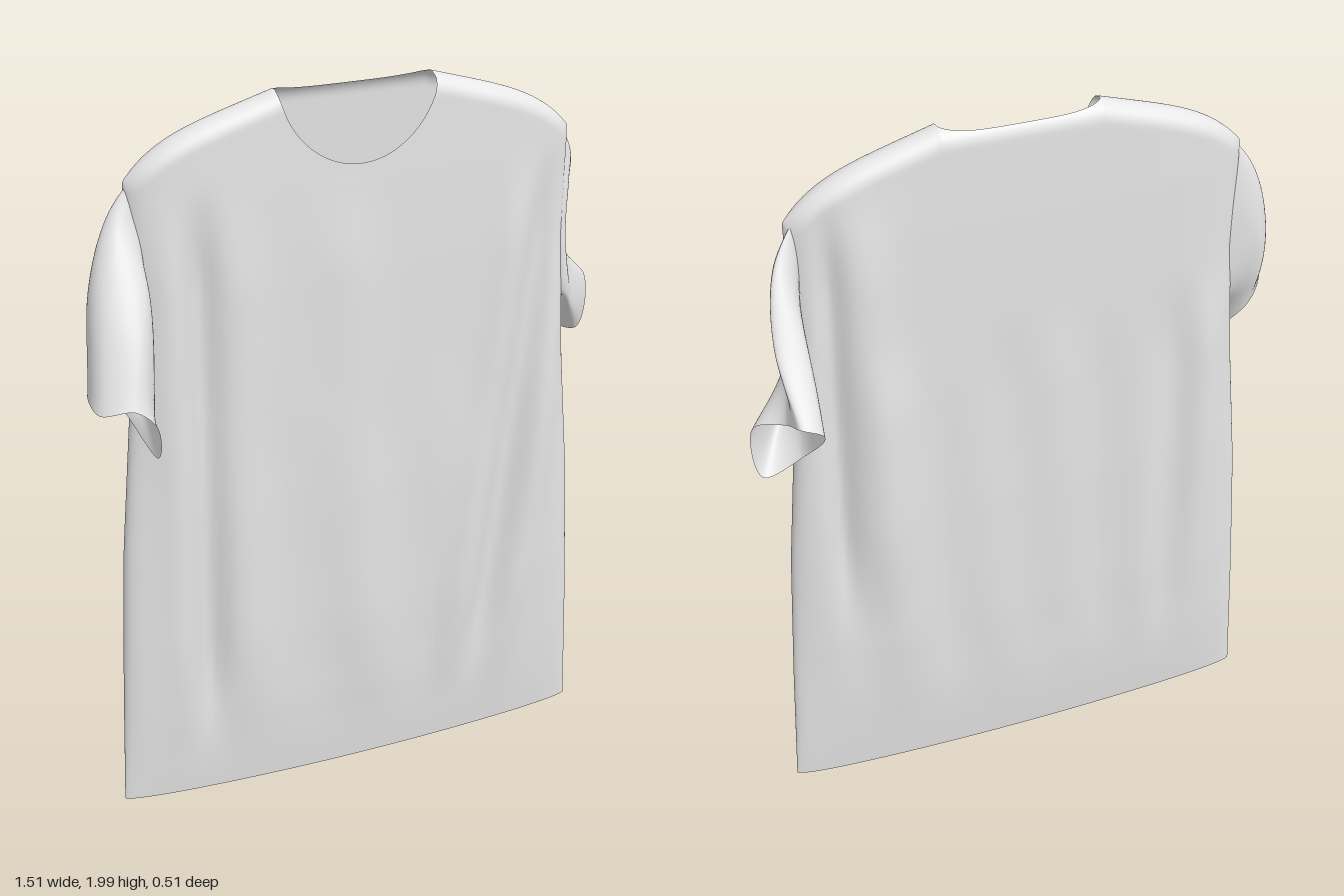
import * as THREE from 'three';

const fabric = new THREE.MeshStandardMaterial({ color: 0xe6e6e6, side: THREE.DoubleSide });
fabric.name = 'light grey fabric';

// Straight-line lookup in a list of [position, value] pairs
function lookup(table, p) {
  for (let k = 1; k < table.length; k++) {
    const [p0, v0] = table[k - 1], [p1, v1] = table[k];
    if (p <= p1) return THREE.MathUtils.mapLinear(Math.max(p, p0), p0, p1, v0, v1);
  }
  return table[table.length - 1][1];
}
const bump = (d, width) => Math.exp(-(d * d) / (width * width));
const fade = (y, y0, y1) => THREE.MathUtils.smoothstep(y, y0, y0 + 0.4) * (1 - THREE.MathUtils.smoothstep(y, y1 - 0.3, y1));

// Grid of points (columns x rows) to a smooth surface; skip(i, j) leaves a hole
function gridMesh(name, grid, skip = () => false) {
  const rows = grid[0].length, index = [];
  for (let i = 0; i < grid.length - 1; i++) {
    for (let j = 0; j < rows - 1; j++) {
      if (skip(i, j)) continue;
      const a = i * rows + j, b = a + rows;
      index.push(a, b, b + 1, a, b + 1, a + 1);
    }
  }
  const geometry = new THREE.BufferGeometry().setFromPoints(grid.flat());
  geometry.setIndex(index);
  geometry.computeVertexNormals();
  const mesh = new THREE.Mesh(geometry, fabric);
  mesh.name = name;
  return mesh;
}

// Body outline: half width and half depth by height
const NECK = 0.35, SHOULDER = 1.995;
const halfWidth = [[0, 0.688], [0.4, 0.672], [0.8, 0.652], [1.2, 0.616], [1.5, 0.598], [1.8, 0.605], [2, 0.605]];
const halfDepth = [[0, 0.014], [0.1, 0.025], [0.25, 0.037], [0.5, 0.047], [0.9, 0.054], [1.5, 0.055], [1.75, 0.053], [2, 0.046]];

function topEdge(u, front) {
  const a = Math.abs(u);
  if (a >= NECK) {
    const t = (a - NECK) / (1 - NECK);
    return SHOULDER - 0.115 * t - 0.07 * t ** 5;
  }
  const t = a / NECK;
  return SHOULDER - (front ? 0.2 * Math.pow(1 - t * t, 0.6) : 0.015 * (1 - t ** 4));
}

// Cloth folds, positive outward
function frontFolds(x, y) {
  const slant = x - (0.41 + 0.12 * (y - 0.6));
  return fade(y, 0.1, 1.8) * (-0.03 * bump(x + 0.43, 0.038) + 0.012 * bump(x + 0.33, 0.06)
    + 0.014 * bump(x + 0.52, 0.05) - 0.022 * bump(slant, 0.042) + 0.016 * bump(slant + 0.09, 0.05)
    + 0.02 * bump(slant - 0.09, 0.05) + 0.012 * bump(x - 0.04 + 0.05 * y, 0.09))
    + 0.003 * fade(y, 0, 1.3) * Math.sin(x * 19 + y * 3);
}
function backFolds(x, y) {
  return fade(y, 0.5, 1.9) * (0.018 * bump(x - 0.42, 0.06) - 0.03 * bump(x - 0.51, 0.03))
    + fade(y, 0.1, 1.5) * (0.004 * Math.sin(x * 27 - y * 2) + 0.004 * Math.sin(x * 16 + y * 2.5)
    + 0.012 * bump(x - 0.38, 0.08) + 0.01 * bump(x + 0.52, 0.05) - 0.012 * bump(x + 0.43, 0.05));
}

function bodyPoint(u, t, front) {
  const top = topEdge(u, front), a = Math.abs(u);
  const hem = 0.003 + 0.03 * a * a;
  const v = 1 - (1 - t) ** 2;
  const y = hem + v * (top - hem);
  const x = u * lookup(halfWidth, y);
  const side = Math.sqrt(Math.max(0, 1 - a ** 9));
  // Shoulders round over to the back, the neckline is cut out below that round
  const near = Math.min(1, ((a < NECK ? SHOULDER : top) - y) / 0.05);
  const round = Math.sqrt(1 - (1 - near) ** 2);
  const depth = lookup(halfDepth, y) + (front ? frontFolds(x, y) : backFolds(x, y));
  const z = depth * side * round;
  return new THREE.Vector3(x, y, 0.022 + (front ? z : -z));
}

function makeBody() {
  const columns = [], SIDE = 34, MID = 40, ROWS = 70;
  const outer = k => NECK + (1 - NECK) * Math.sin((k / SIDE) * Math.PI / 2);
  for (let k = SIDE; k > 0; k--) columns.push(-outer(k));
  for (let k = 0; k <= MID; k++) columns.push(NECK * Math.sin((k / MID - 0.5) * Math.PI));
  for (let k = 1; k <= SIDE; k++) columns.push(outer(k));
  // Each column runs up the front, over the shoulder and down the back
  const grid = columns.map(u => {
    const line = [];
    for (let j = 0; j <= ROWS; j++) line.push(bodyPoint(u, j / ROWS, true));
    for (let j = ROWS; j >= 0; j--) line.push(bodyPoint(u, j / ROWS, false));
    return line;
  });
  return gridMesh('body', grid, (i, j) => j === ROWS && i >= SIDE && i < SIDE + MID);
}

// Sleeve lofted through rings running top, outer, front, bottom, inner, back
function makeSleeve(name, rings, flip) {
  const AROUND = 72, ALONG = 30;
  const loops = rings.map(ring => new THREE.CatmullRomCurve3(
    ring.map(p => new THREE.Vector3(...p)), true, 'centripetal'));
  const grid = [];
  for (let i = 0; i <= AROUND; i++) {
    const s = (flip ? 1 - i / AROUND : i / AROUND) % 1;
    const path = new THREE.CatmullRomCurve3(loops.map(loop => loop.getPoint(s)));
    grid.push(path.getPoints(ALONG));
  }
  return gridMesh(name, grid);
}

// The right sleeve swings forward
const rightRings = [
  [[-0.565, 1.84, 0.022], [-0.575, 1.74, 0.035], [-0.57, 1.6, 0.05], [-0.58, 1.35, 0.04], [-0.585, 1.37, 0.015], [-0.58, 1.62, 0.0]],
  [[-0.65, 1.73, 0.03], [-0.635, 1.68, 0.075], [-0.58, 1.57, 0.11], [-0.585, 1.31, 0.09], [-0.6, 1.34, 0.03], [-0.645, 1.57, -0.005]],
  [[-0.715, 1.57, 0.07], [-0.695, 1.54, 0.135], [-0.62, 1.47, 0.185], [-0.595, 1.25, 0.15], [-0.615, 1.3, 0.06], [-0.69, 1.42, 0.015]],
  [[-0.752, 1.32, 0.13], [-0.748, 1.3, 0.22], [-0.67, 1.31, 0.255], [-0.61, 1.25, 0.24], [-0.597, 1.14, 0.18], [-0.675, 1.28, 0.05]],
];
// The left sleeve is pushed back and dented on the outside
const leftRings = [
  [[0.565, 1.84, 0.022], [0.575, 1.74, 0.035], [0.58, 1.6, 0.045], [0.585, 1.35, 0.035], [0.585, 1.37, 0.015], [0.58, 1.62, 0.0]],
  [[0.65, 1.72, -0.035], [0.625, 1.66, 0.015], [0.605, 1.54, 0.04], [0.615, 1.33, 0.035], [0.605, 1.36, -0.01], [0.6, 1.6, -0.085]],
  [[0.685, 1.56, -0.13], [0.635, 1.51, -0.075], [0.645, 1.42, -0.015], [0.66, 1.27, -0.01], [0.615, 1.3, -0.05], [0.605, 1.48, -0.175]],
  [[0.665, 1.4, -0.25], [0.685, 1.37, -0.17], [0.75, 1.33, -0.1], [0.73, 1.17, -0.09], [0.63, 1.22, -0.11], [0.61, 1.37, -0.25]],
];

export function createModel() {
  const shirt = new THREE.Group();
  shirt.name = 'shirt';
  shirt.add(
    makeBody(),
    makeSleeve('rightSleeve', rightRings, true),
    makeSleeve('leftSleeve', leftRings, false),
  );
  return shirt;
}
